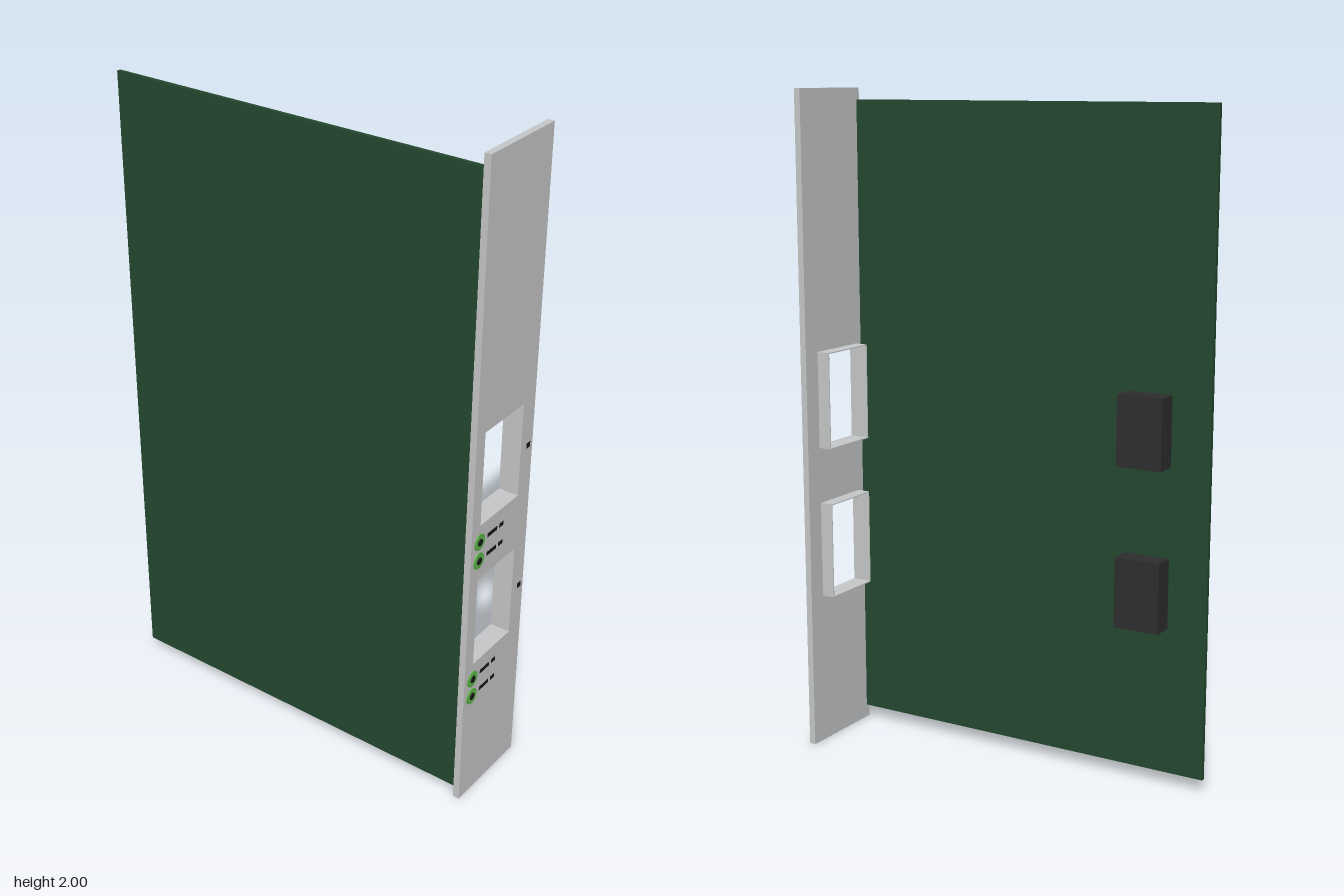
import * as THREE from 'three';

const mat = (name, color, side = THREE.FrontSide) => {
  const m = new THREE.MeshStandardMaterial({ color, side });
  m.name = name;
  return m;
};

export function createModel() {
  const root = new THREE.Group();
  root.name = 'frontPanelCard';
  const metal = mat('panelGrey', 0xc5c6c7);
  const boardGreen = mat('boardGreen', 0x23472e);
  const plastic = mat('connectorBlack', 0x2d2d2d);
  const pinGrey = mat('contactLightGrey', 0xdcdcdc);
  const ledGreen = mat('lampGreen', 0x5cb548);
  const ink = mat('markBlack', 0x161616);

  const add = (name, geometry, material, parent = root) => {
    const mesh = new THREE.Mesh(geometry, material);
    mesh.name = name;
    parent.add(mesh);
    return mesh;
  };
  // Box given by its minimum and maximum corners
  const box = (name, a, b, material, parent) => {
    const s = b.map((v, i) => v - a[i]);
    const mesh = add(name, new THREE.BoxGeometry(...s), material, parent);
    mesh.position.set(...a.map((v, i) => (v + b[i]) / 2));
    return mesh;
  };
  const rect = (path, x0, y0, x1, y1) => path.moveTo(x0, y0).lineTo(x1, y0).lineTo(x1, y1).lineTo(x0, y1).closePath();

  const X0 = -0.105, X1 = 0.085, H = 0.144;
  const bays = [1.08, 0.615];

  // Front panel with two windows
  const panel = new THREE.Shape();
  rect(panel, -0.146, 0, 0.145, 2);
  for (const y of bays) {
    const hole = new THREE.Path();
    rect(hole, X0, y - H, X1, y + H);
    panel.holes.push(hole);
  }
  add('frontPanel', new THREE.ExtrudeGeometry(panel, { depth: 0.02, bevelEnabled: false }), metal).position.z = 0.58;

  // Circuit board
  box('circuitBoard', [-0.146, 0.04, -0.605], [-0.133, 1.965, 0.58], boardGreen);

  bays.forEach((y, i) => {
    const bay = new THREE.Group();
    bay.name = i ? 'lowerBay' : 'upperBay';
    root.add(bay);

    // Thin sleeve behind the window
    const t = 0.003;
    const sleeve = new THREE.Shape();
    rect(sleeve, X0 - t, y - H - t, X1 + t, y + H + t);
    const opening = new THREE.Path();
    rect(opening, X0, y - H, X1, y + H);
    sleeve.holes.push(opening);
    add('windowSleeve', new THREE.ExtrudeGeometry(sleeve, { depth: 0.042, bevelEnabled: false }), metal, bay).position.z = 0.539;

    // Rear connector with two rows of contacts
    box('connector', [-0.042, y - 0.102, -0.527], [0.022, y + 0.102, -0.39], plastic, bay);
    for (const x of [-0.02, 0.001]) {
      for (let k = 0; k < 10; k++) {
        const py = y + (k - 4.5) * 0.0165;
        box('contact', [x - 0.003, py - 0.005, -0.391], [x + 0.003, py + 0.005, -0.387], pinGrey, bay);
      }
    }

    // Indicator lamps with dark centres and plain marks beside them
    for (const ly of [y - 0.196, y - 0.257]) {
      const rim = add('lampRim', new THREE.CylinderGeometry(0.025, 0.025, 0.006, 24), ledGreen, bay);
      const core = add('lampCentre', new THREE.CylinderGeometry(0.011, 0.011, 0.006, 16), ink, bay);
      rim.rotation.x = core.rotation.x = Math.PI / 2;
      rim.position.set(-0.107, ly, 0.6);
      core.position.set(-0.107, ly, 0.602);
      box('longMark', [-0.066, ly - 0.006, 0.6], [-0.018, ly + 0.006, 0.601], ink, bay);
      box('shortMark', [-0.006, ly - 0.006, 0.6], [0.014, ly + 0.006, 0.601], ink, bay);
    }
    box('bayMark', [0.115, y - 0.008, 0.6], [0.132, y + 0.008, 0.601], ink, bay);
  });

  return root;
}
